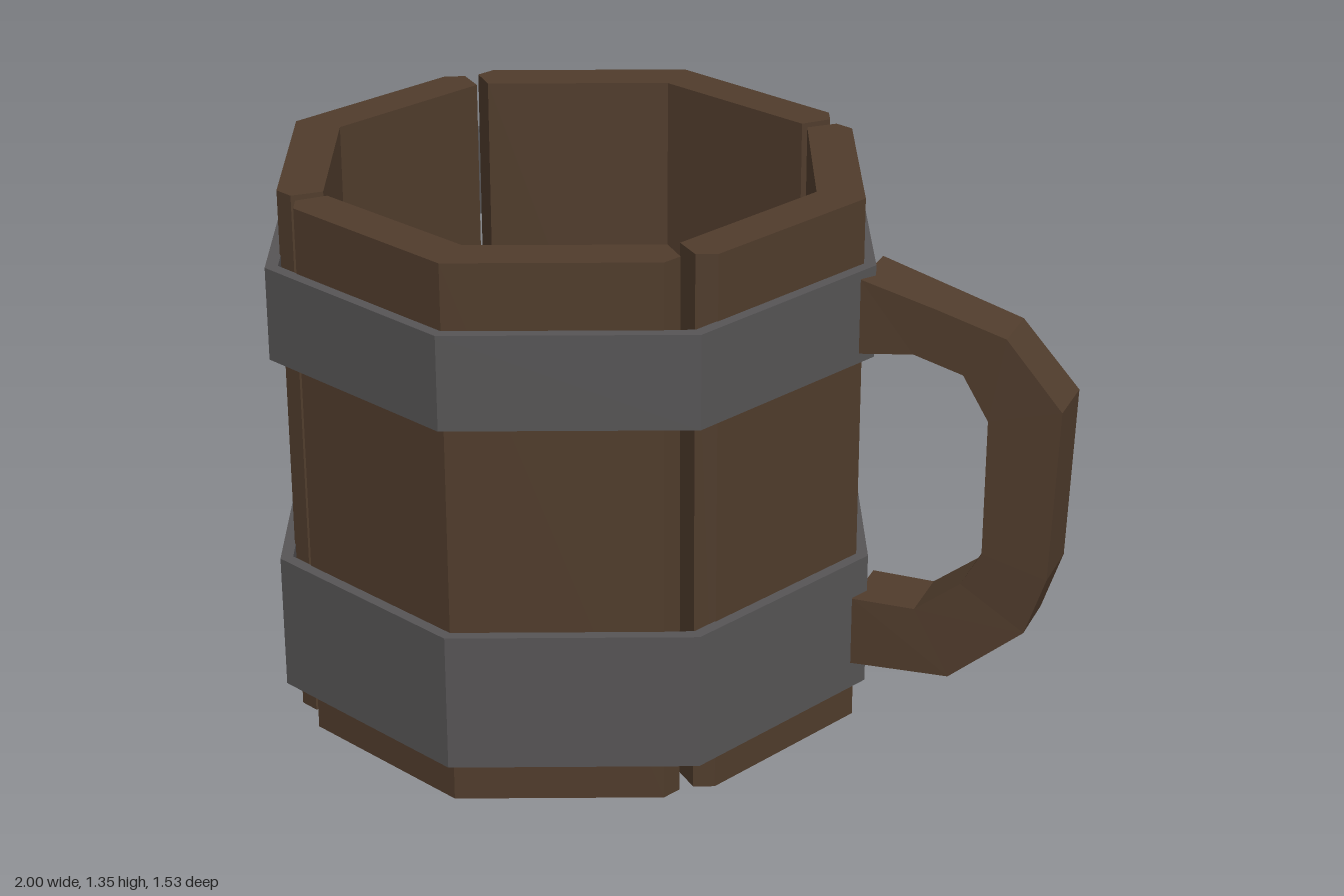
import * as THREE from 'three';

const HEIGHT = 1.35;
const CENTRE_X = -0.235;

const wood = new THREE.MeshStandardMaterial({ color: 0x503c2c, flatShading: true });
wood.name = 'dark wood';
const iron = new THREE.MeshStandardMaterial({ color: 0x565455, flatShading: true });
iron.name = 'iron';

function octagon(radius) {
  return Array.from({ length: 8 }, (_, i) => {
    const a = (i * Math.PI) / 4;
    return new THREE.Vector2(radius * Math.cos(a), radius * Math.sin(a));
  });
}

// Upright prism from a plan outline, between heights y0 and y1
function prism(shape, y0, y1) {
  const geo = new THREE.ExtrudeGeometry(shape, { depth: y1 - y0, bevelEnabled: false });
  geo.rotateX(-Math.PI / 2);
  geo.translate(0, y0, 0);
  return geo;
}

function addMesh(parent, name, geometry, material) {
  const mesh = new THREE.Mesh(geometry, material);
  mesh.name = name;
  parent.add(mesh);
  return mesh;
}

// Bent stave with chamfered ends, folded on its middle
function staveGeometry() {
  const half = [[0.455, 0.547], [0.475, 0.5], [0.422, 0.443]];
  const points = [
    [0, 0.735], ...half, [0, 0.615],
    ...half.slice().reverse().map(([x, y]) => [-x, y]),
  ].map(([x, y]) => new THREE.Vector2(x, y));
  return prism(new THREE.Shape(points), 0, HEIGHT);
}

// Octagonal hoop around the staves
function bandGeometry(y0, y1) {
  const shape = new THREE.Shape(octagon(0.765));
  shape.holes.push(new THREE.Path(octagon(0.733)));
  return prism(shape, y0, y1);
}

// Angular handle lofted through four-cornered sections
function handleGeometry() {
  // outer x, y, inner x, y, back z, front z
  const stations = [
    [0.51, 1.17, 0.51, 0.985, -0.112, 0.052],
    [0.69, 1.12, 0.64, 1.0, -0.103, 0.044],
    [0.86, 1.07, 0.76, 0.965, -0.1, 0.04],
    [1.0, 0.91, 0.825, 0.86, -0.105, 0.043],
    [0.985, 0.48, 0.825, 0.52, -0.105, 0.047],
    [0.935, 0.33, 0.775, 0.43, -0.107, 0.044],
    [0.755, 0.18, 0.665, 0.345, -0.108, 0.05],
    [0.51, 0.17, 0.51, 0.345, -0.11, 0.054],
  ];
  const positions = [];
  for (const [ox, oy, ix, iy, back, front] of stations) {
    positions.push(ox, oy, front, ox, oy, back, ix, iy, back, ix, iy, front);
  }
  const index = [];
  for (let s = 0; s < stations.length - 1; s++) {
    for (let k = 0; k < 4; k++) {
      const a = s * 4 + k;
      const b = s * 4 + ((k + 1) % 4);
      index.push(a, a + 4, b, b, a + 4, b + 4);
    }
  }
  const e = (stations.length - 1) * 4;
  index.push(0, 1, 2, 0, 2, 3, e, e + 2, e + 1, e, e + 3, e + 2);
  const indexed = new THREE.BufferGeometry();
  indexed.setAttribute('position', new THREE.Float32BufferAttribute(positions, 3));
  indexed.setIndex(index);
  const geo = indexed.toNonIndexed();
  geo.computeVertexNormals();
  return geo;
}

export function createModel() {
  const model = new THREE.Group();
  model.name = 'woodenMug';

  const body = new THREE.Group();
  body.name = 'body';
  body.position.x = CENTRE_X;
  model.add(body);

  // Four staves with narrow slits between them
  const stave = staveGeometry();
  for (let i = 0; i < 4; i++) {
    addMesh(body, `stave${i + 1}`, stave, wood).rotation.y = (i * Math.PI) / 2;
  }

  // Recessed floor whose corners show in the slits
  addMesh(body, 'floor', prism(new THREE.Shape(octagon(0.71)), 0.09, 0.19), wood);

  addMesh(body, 'lowerBand', bandGeometry(0.1, 0.44), iron);
  addMesh(body, 'upperBand', bandGeometry(0.96, 1.19), iron);

  addMesh(model, 'handle', handleGeometry(), wood);
  return model;
}
